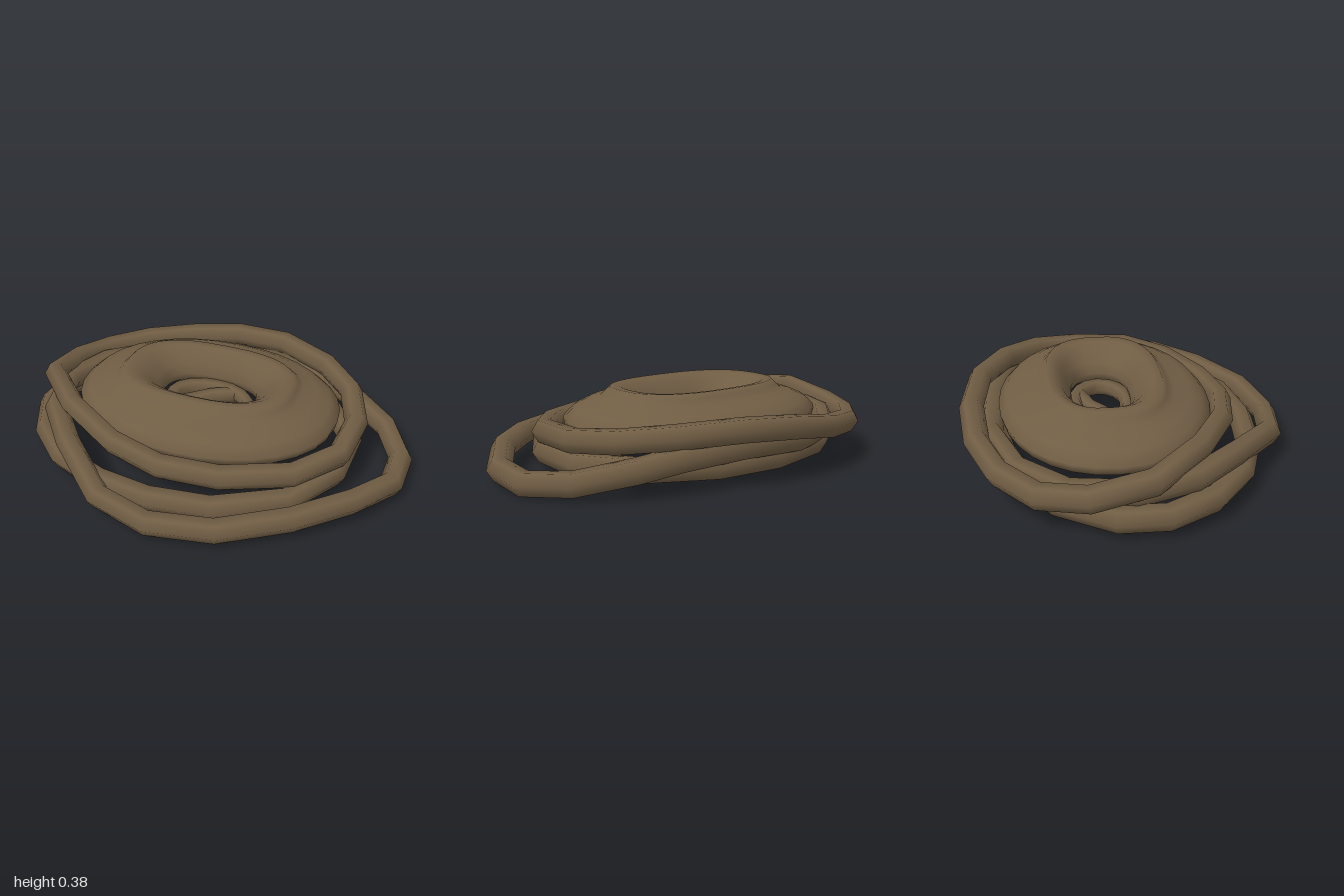
import * as THREE from 'three';

const rope = new THREE.MeshStandardMaterial({ color: 0x705d44, side: THREE.DoubleSide });
rope.name = 'brown rope';

// Skin over a list of closed rings of equal length; wrap joins the last ring to the first
function loft(name, rings, wrap) {
  const n = rings[0].length, index = [];
  for (let r = 0; r < rings.length - (wrap ? 0 : 1); r++) {
    const next = (r + 1) % rings.length;
    for (let i = 0; i < n; i++) {
      const j = (i + 1) % n;
      index.push(r * n + i, next * n + i, r * n + j, r * n + j, next * n + i, next * n + j);
    }
  }
  const geo = new THREE.BufferGeometry();
  geo.setAttribute('position', new THREE.Float32BufferAttribute(rings.flat(2), 3));
  geo.setIndex(index);
  geo.computeVertexNormals();
  const mesh = new THREE.Mesh(geo, rope);
  mesh.name = name;
  return mesh;
}

// Six-sided cord with a bend at every point and flat faces above and below
function cord(name, points, radius, closed = true) {
  const n = points.length;
  const at = (i) => new THREE.Vector3(...points[closed ? (i + n) % n : Math.min(Math.max(i, 0), n - 1)]);
  const rings = points.map((_, k) => {
    const tangent = at(k + 1).sub(at(k - 1)).normalize();
    const side = new THREE.Vector3(0, 1, 0).cross(tangent).normalize();
    const up = tangent.clone().cross(side);
    return Array.from({ length: 6 }, (_, i) => {
      const a = (i / 6) * Math.PI * 2;
      return at(k).addScaledVector(side, radius * Math.cos(a)).addScaledVector(up, radius * Math.sin(a)).toArray();
    });
  });
  return loft(name, rings, closed);
}

// Mound of rounded oval rings: [half x, half z, y, centre z, squareness]
function mound() {
  const sections = [
    [0.60, 0.44, 0.19, -0.10, 2.1], [0.68, 0.51, 0.205, -0.10, 2.1], [0.69, 0.52, 0.245, -0.10, 2.1],
    [0.64, 0.48, 0.29, -0.10, 2.1], [0.56, 0.42, 0.32, -0.10, 2.2], [0.49, 0.335, 0.335, -0.10, 2.5],
    [0.465, 0.30, 0.36, -0.10, 2.6], [0.44, 0.28, 0.385, -0.10, 2.6], [0.39, 0.24, 0.38, -0.105, 2.6],
    [0.335, 0.20, 0.35, -0.11, 2.6], [0.28, 0.165, 0.30, -0.115, 2.6], [0.25, 0.145, 0.255, -0.115, 2.6],
    [0.255, 0.15, 0.215, -0.115, 2.6], [0.29, 0.18, 0.19, -0.115, 2.6],
  ];
  const bend = (v, power) => Math.sign(v) * Math.abs(v) ** (2 / power);
  const rings = sections.map(([a, b, y, cz, power]) => Array.from({ length: 32 }, (_, i) => {
    const t = (i / 32) * Math.PI * 2;
    return [-0.08 + a * bend(Math.cos(t), power), y, cz + b * bend(Math.sin(t), power)];
  }));
  return loft('coiledMound', rings, false);
}

export function createModel() {
  const group = new THREE.Group();
  group.name = 'ropeCoil';

  // Flat loop lying at the bottom
  group.add(cord('bottomLoop', [
    [-0.11, 0.096, 0.605], [0.19, 0.096, 0.565], [0.50, 0.096, 0.39], [0.66, 0.096, 0.12],
    [0.67, 0.096, -0.18], [0.50, 0.096, -0.44], [0.20, 0.096, -0.60], [-0.13, 0.096, -0.64],
    [-0.48, 0.096, -0.57], [-0.77, 0.096, -0.38], [-0.93, 0.096, -0.13], [-0.94, 0.096, 0.08],
    [-0.83, 0.096, 0.30], [-0.64, 0.096, 0.47], [-0.38, 0.096, 0.57],
  ], 0.06));

  // Wide loose loop, low at the front and right, climbing on the left and back
  group.add(cord('looseLoop', [
    [-0.05, 0.083, 0.75], [0.26, 0.09, 0.695], [0.56, 0.10, 0.51], [0.79, 0.10, 0.29],
    [0.93, 0.067, 0.06], [0.935, 0.056, -0.17], [0.82, 0.08, -0.38], [0.60, 0.13, -0.53],
    [0.40, 0.165, -0.60], [0.10, 0.18, -0.65], [-0.25, 0.165, -0.66], [-0.58, 0.155, -0.54],
    [-0.80, 0.165, -0.33], [-0.88, 0.185, -0.05], [-0.81, 0.195, 0.22], [-0.61, 0.18, 0.45],
    [-0.32, 0.115, 0.695],
  ], 0.06));

  // Upper loop, high at the left and the back, dipping between them and across the front
  group.add(cord('upperLoop', [
    [-0.10, 0.205, 0.49], [0.19, 0.19, 0.45], [0.50, 0.188, 0.31], [0.67, 0.20, 0.10],
    [0.69, 0.21, -0.18], [0.61, 0.235, -0.41], [0.43, 0.26, -0.585], [0.15, 0.275, -0.715],
    [-0.135, 0.255, -0.75], [-0.41, 0.215, -0.72], [-0.66, 0.19, -0.62], [-0.84, 0.18, -0.46],
    [-0.93, 0.205, -0.25], [-0.92, 0.26, 0.02], [-0.68, 0.265, 0.26], [-0.37, 0.23, 0.43],
  ], 0.06));

  // Tight centre, with an inner turn and a loose strand in the opening
  group.add(mound());
  group.add(cord('innerTurn', Array.from({ length: 16 }, (_, i) => {
    const t = (-i / 16) * Math.PI * 2;
    return [-0.08 + 0.205 * Math.cos(t), 0.20, -0.11 + 0.135 * Math.sin(t)];
  }), 0.042));
  group.add(cord('innerStrand', [
    [-0.25, 0.18, 0.0], [-0.20, 0.185, -0.08], [-0.09, 0.19, -0.17], [0.04, 0.20, -0.22],
  ], 0.042, false));
  return group;
}
